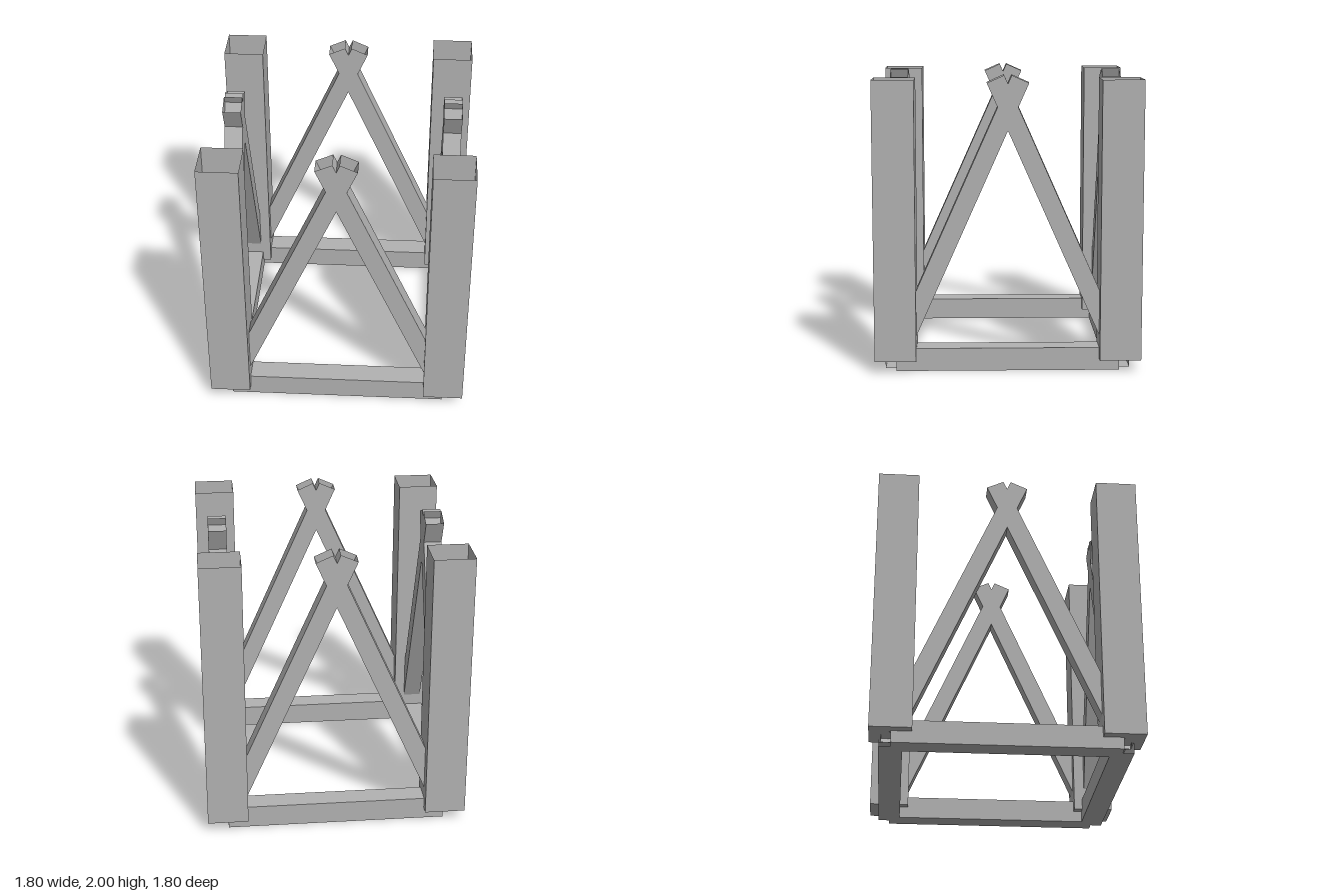
import * as THREE from 'three';

export function createModel() {
  const model = new THREE.Group();
  const grey = new THREE.MeshStandardMaterial({ color: 0xb2b2b2, side: THREE.DoubleSide, flatShading: true });
  grey.name = 'plain grey';

  // Thin-walled square tube along y, open at both ends
  function squareTube(name, width, length) {
    const geo = new THREE.CylinderGeometry(width / Math.SQRT2, width / Math.SQRT2, length, 4, 1, true);
    geo.rotateY(Math.PI / 4);
    const mesh = new THREE.Mesh(geo, grey);
    mesh.name = name;
    return mesh;
  }

  const offset = 0.757; // distance of each frame side from the centre
  const colWidth = 0.28, colBottom = 0.08, colTop = 1.975;

  for (let i = 0; i < 4; i++) {
    const side = new THREE.Group();
    side.name = 'frameSide' + (i + 1);
    side.rotation.y = i * Math.PI / 2;

    // Bottom beam, stopping at the middle of each corner
    const beam = squareTube('bottomBeam', 0.156, offset * 2);
    beam.rotation.z = Math.PI / 2;
    beam.position.set(0, 0.078, offset);
    side.add(beam);

    // Two crossing diagonal braces, cut square at the ends
    const foot = new THREE.Vector2(0.762, 0.075);
    const head = new THREE.Vector2(-0.083, 1.975);
    const run = head.clone().sub(foot);
    for (const s of [1, -1]) {
      const brace = squareTube('diagonalBrace', 0.126, run.length());
      brace.rotation.z = s * Math.atan2(-run.x, run.y);
      brace.position.set(s * (foot.x + head.x) / 2, (foot.y + head.y) / 2, offset);
      side.add(brace);
    }

    // Corner column, open on top and closed below
    const column = new THREE.Group();
    column.name = 'cornerColumn';
    column.position.set(0.76, 0, 0.76);
    const walls = squareTube('columnWalls', colWidth, colTop - colBottom);
    walls.position.y = (colTop + colBottom) / 2;
    const base = new THREE.Mesh(new THREE.PlaneGeometry(colWidth, colWidth), grey);
    base.name = 'columnBase';
    base.rotation.x = Math.PI / 2;
    base.position.y = colBottom;
    column.add(walls, base);
    side.add(column);

    model.add(side);
  }
  return model;
}
